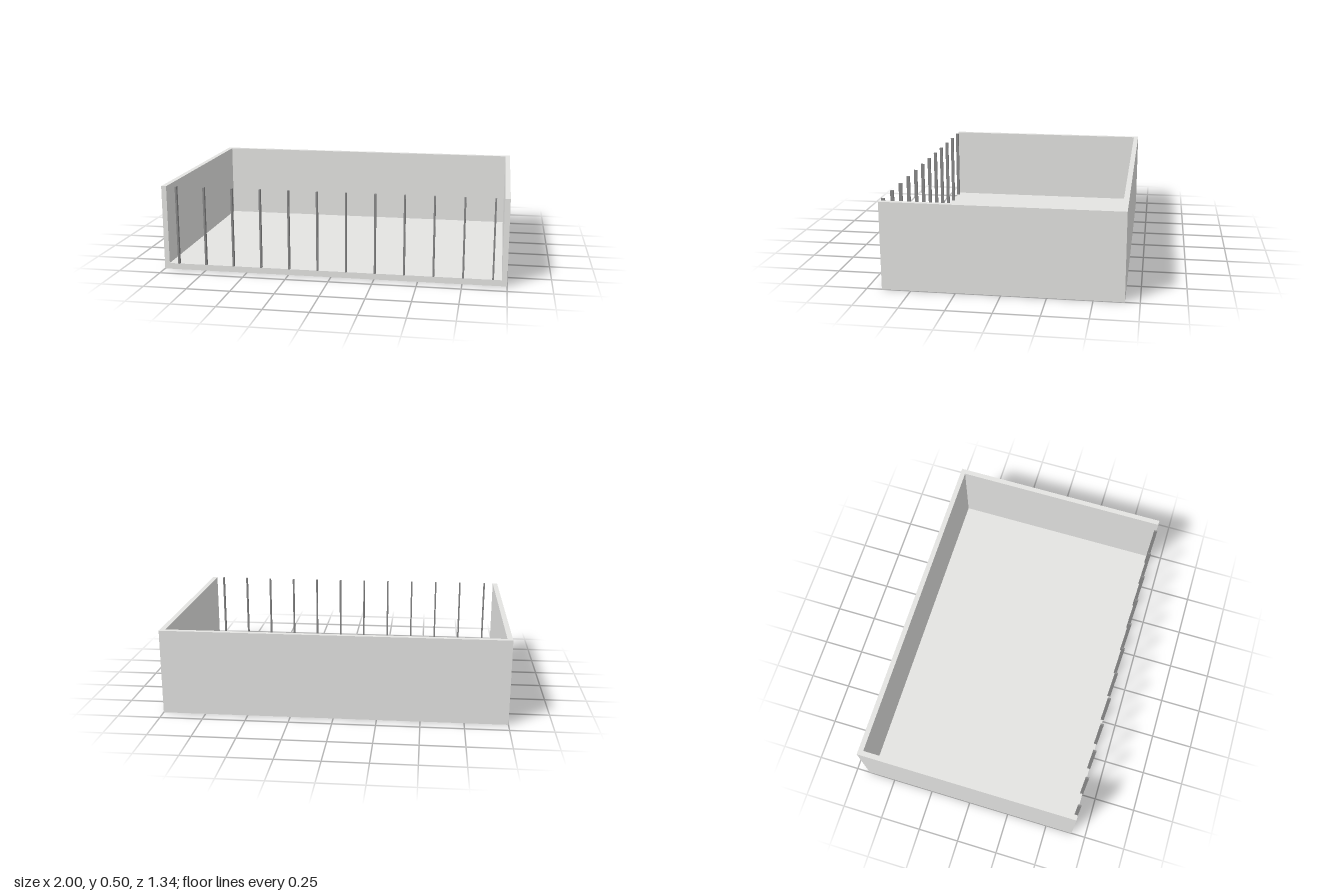
import * as THREE from 'three';

export function createModel() {
  const model = new THREE.Group();
  const panelGrey = new THREE.MeshStandardMaterial({ color: 0xe4e4e2 });
  panelGrey.name = 'panelGrey';
  const barGrey = new THREE.MeshStandardMaterial({ color: 0x8a8a8a });
  barGrey.name = 'barGrey';

  // Box given by its lower and upper corners
  const box = (name, material, [x0, y0, z0], [x1, y1, z1]) => {
    const mesh = new THREE.Mesh(new THREE.BoxGeometry(x1 - x0, y1 - y0, z1 - z0), material);
    mesh.position.set((x0 + x1) / 2, (y0 + y1) / 2, (z0 + z1) / 2);
    mesh.name = name;
    model.add(mesh);
  };

  const height = 0.5, wall = 0.03, floorTop = 0.035;
  const back = -0.669, front = 0.664, inner = back + wall;

  // Open-fronted tray: floor, back wall and two side walls
  box('floor', panelGrey, [-1, 0, back], [1, floorTop, front]);
  box('backWall', panelGrey, [-1, floorTop, back], [1, height, inner]);
  box('leftWall', panelGrey, [1 - wall, floorTop, inner], [1, height, front]);
  box('rightWall', panelGrey, [-1, floorTop, inner], [-1 + wall, height, front]);

  // Row of evenly spaced upright bars across the open front
  const count = 12, pitch = 2 / count, width = 0.01;
  for (let i = 0; i < count; i++) {
    const x = -1 + pitch * (i + 0.5);
    box('frontBar' + (i + 1), barGrey, [x, floorTop, 0.649], [x + width, height, 0.669]);
  }
  return model;
}
